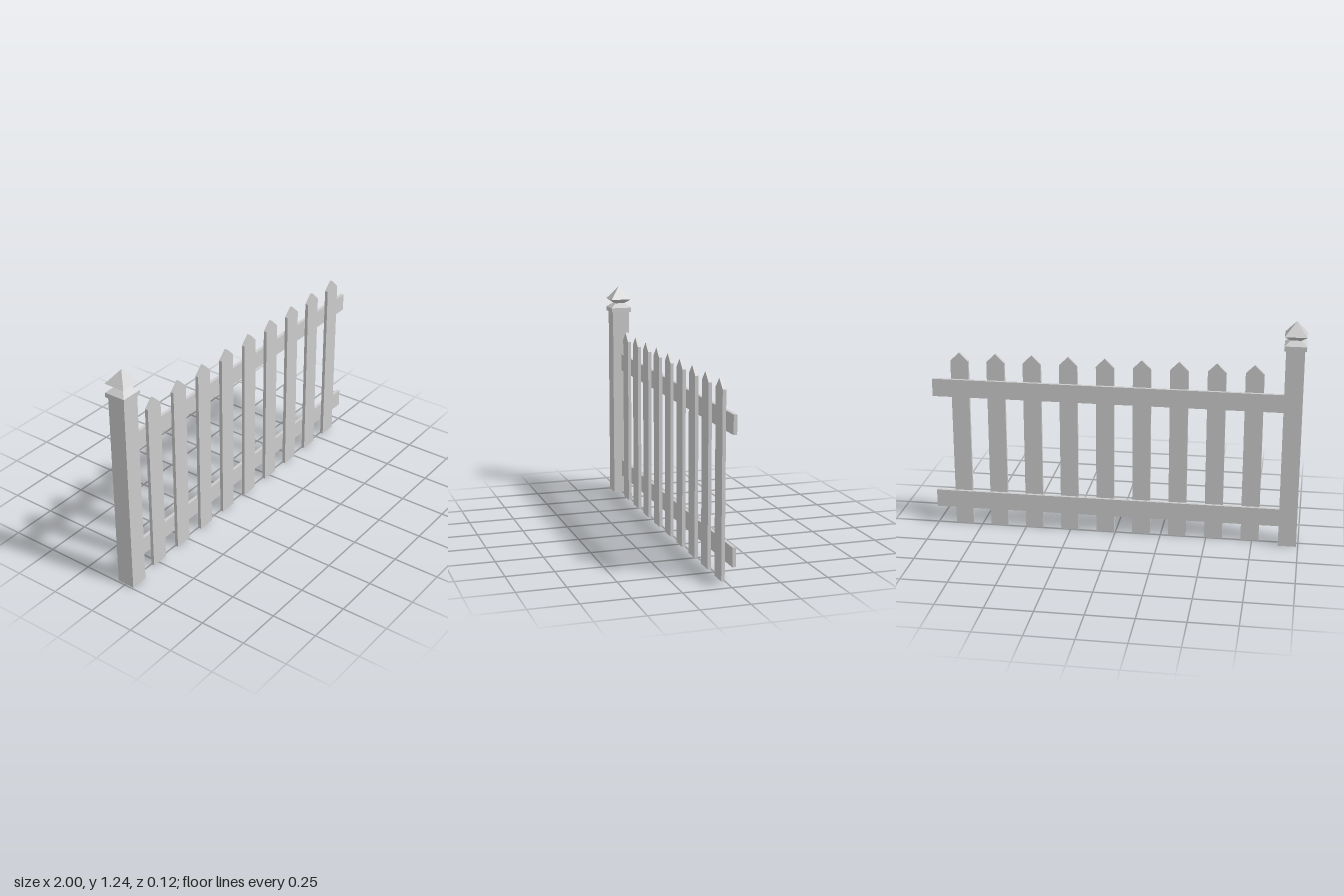
import * as THREE from 'three';

export function createModel() {
  const model = new THREE.Group();
  const material = new THREE.MeshStandardMaterial({ color: 0xcccccc, flatShading: true });

  function add(name, geometry, x, y, z, parent = model) {
    const mesh = new THREE.Mesh(geometry, material);
    mesh.name = name;
    mesh.position.set(x, y, z);
    parent.add(mesh);
    return mesh;
  }

  // Square end post with a stepped cap and a pointed finial
  const post = new THREE.Group();
  post.name = 'endPost';
  post.position.x = -0.942;
  model.add(post);
  add('postShaft', new THREE.BoxGeometry(0.097, 1.094, 0.097), 0, 0.547, 0, post);
  add('postCap', new THREE.BoxGeometry(0.116, 0.025, 0.116), 0, 1.1065, 0, post);

  // Four-sided profile: half width and height, from cap to neck, rim and tip
  const profile = [[0.058, 1.119], [0.027, 1.144], [0.058, 1.168], [0, 1.24]]
    .map(([half, y]) => new THREE.Vector2(half * Math.SQRT2, y));
  add('postFinial', new THREE.LatheGeometry(profile, 4, Math.PI / 4), 0, 0, 0, post);

  // Two horizontal rails running from the post to the open end
  const railStart = -0.893, railEnd = 1;
  const railGeometry = new THREE.BoxGeometry(railEnd - railStart, 0.098, 0.018);
  add('lowerRail', railGeometry, (railStart + railEnd) / 2, 0.15, -0.009);
  add('upperRail', railGeometry, (railStart + railEnd) / 2, 0.795, -0.009);

  // Pointed pickets fixed to the front of the rails
  const outline = new THREE.Shape();
  outline.moveTo(-0.049, 0);
  outline.lineTo(0.049, 0);
  outline.lineTo(0.049, 0.945);
  outline.lineTo(0, 0.993);
  outline.lineTo(-0.049, 0.945);
  outline.closePath();
  const picketGeometry = new THREE.ExtrudeGeometry(outline, { depth: 0.018, bevelEnabled: false });
  for (let i = 0; i < 9; i++) {
    add(`picket${i + 1}`, picketGeometry, -0.738 + i * 0.1984, 0, 0);
  }

  return model;
}
